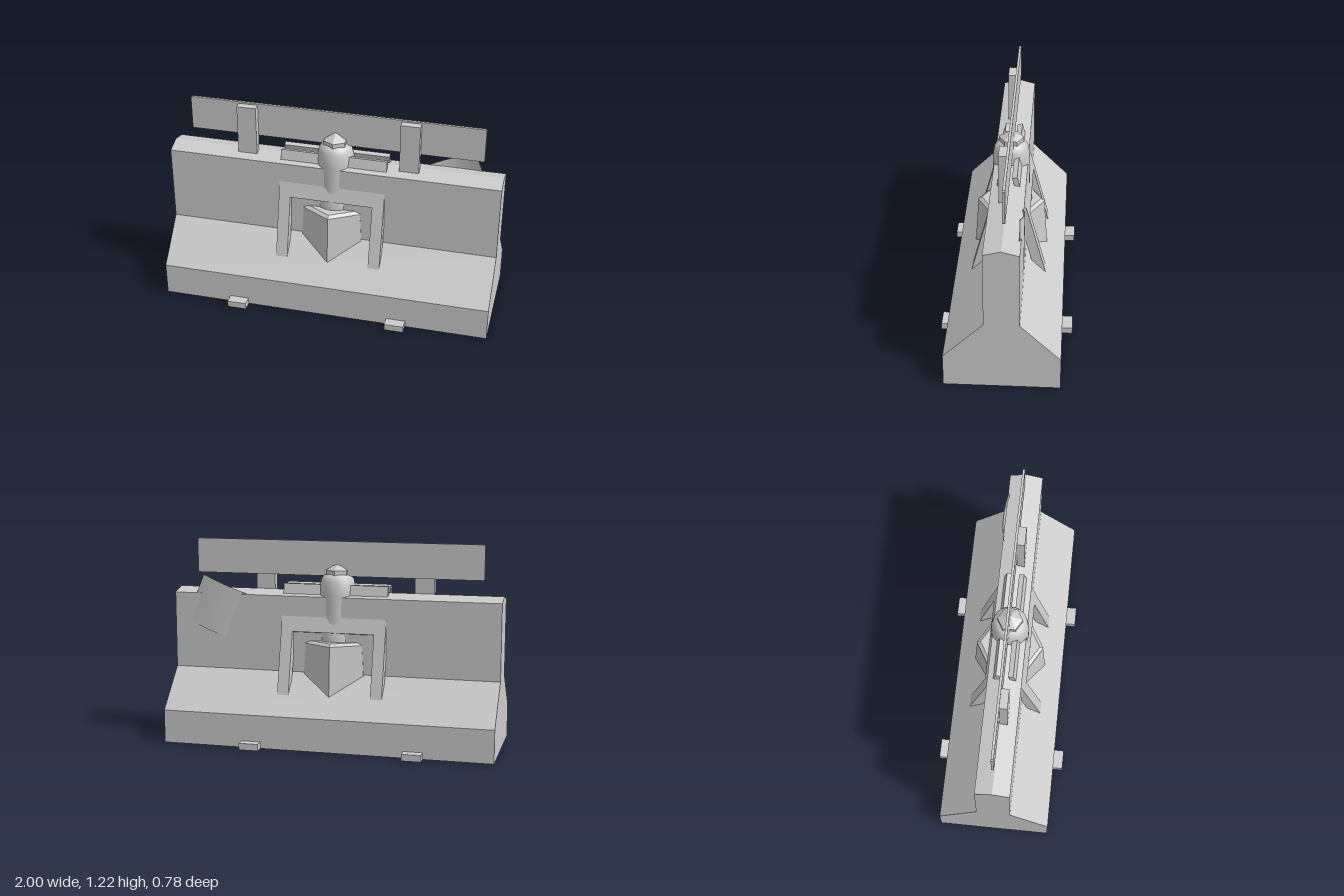
import * as THREE from 'three';
import { toCreasedNormals } from 'three/addons/utils/BufferGeometryUtils.js';

export function createModel() {
  const root = new THREE.Group();
  root.name = 'roadBarrier';
  const grey = new THREE.MeshStandardMaterial({ color: 0xcccccc });
  grey.name = 'concreteGrey';

  const add = (name, geometry, parent = root) => {
    const mesh = new THREE.Mesh(geometry, grey);
    mesh.name = name;
    parent.add(mesh);
    return mesh;
  };
  // Box given by its minimum and maximum corners
  const box = (name, [x0, y0, z0], [x1, y1, z1], parent) => {
    const g = new THREE.BoxGeometry(x1 - x0, y1 - y0, z1 - z0);
    g.translate((x0 + x1) / 2, (y0 + y1) / 2, (z0 + z1) / 2);
    return add(name, g, parent);
  };
  // Faceted six-sided prism or cone
  const hex = (name, rTop, rBottom, y0, y1) => {
    const g = new THREE.CylinderGeometry(rTop, rBottom, y1 - y0, 6);
    g.translate(0, (y0 + y1) / 2, 0);
    return add(name, toCreasedNormals(g, 0.4));
  };

  // Concrete barrier: symmetric cross-section pushed along x
  const half = [[0.33, 0], [0.33, 0.2], [0.1, 0.43], [0.1, 0.89]];
  const section = [...half, [0, 0.917], ...half.map(([z, y]) => [-z, y]).reverse()];
  const barrier = new THREE.ExtrudeGeometry(
    new THREE.Shape(section.map(([z, y]) => new THREE.Vector2(z, y))),
    { depth: 2, bevelEnabled: false });
  barrier.translate(0, 0, -1).rotateY(Math.PI / 2);
  add('barrier', barrier);

  // Ground bars and sign posts share their x positions
  for (const x of [-0.53, 0.45]) {
    box('groundBar', [x - 0.058, 0, -0.39], [x + 0.058, 0.04, 0.39]);
    box('signPost', [x - 0.058, 0.88, 0], [x + 0.058, 1.207, 0.045]);
  }

  // Long sign board with slightly clipped corners
  const c = 0.008, bx0 = -0.885, bx1 = 0.88, by0 = 1.008, by1 = 1.217;
  const boardShape = new THREE.Shape([
    [bx0 + c, by0], [bx1 - c, by0], [bx1, by0 + c], [bx1, by1 - c],
    [bx1 - c, by1], [bx0 + c, by1], [bx0, by1 - c], [bx0, by0 + c],
  ].map(([x, y]) => new THREE.Vector2(x, y)));
  const board = new THREE.ExtrudeGeometry(boardShape, { depth: 0.015, bevelEnabled: false });
  board.translate(0, 0, -0.015);
  add('signBoard', board);

  // Hydrant: six-sided base and rim, smooth round body, six-sided cap
  hex('hydrantBase', 0.2, 0.222, 0.28, 0.608);
  hex('hydrantRim', 0.18, 0.203, 0.608, 0.624);
  const profile = [
    [0.125, 0.6], [0.122, 0.66], [0.113, 0.69], [0.11, 0.75], [0.111, 0.9], [0.108, 0.94],
    [0.1, 0.985], [0.085, 1.01], [0.06, 1.024], [0, 1.03],
  ].map(([r, y]) => new THREE.Vector2(r, y));
  add('hydrantBody', new THREE.LatheGeometry(profile, 32));
  hex('hydrantCap', 0.074, 0.074, 1.003, 1.045);
  hex('hydrantCapPoint', 0, 0.074, 1.045, 1.087);

  // Leaning A-frame: one panel with thick legs on each side of the barrier
  for (const side of [0, 1]) {
    const pivot = new THREE.Group();
    pivot.name = side ? 'backFrame' : 'frontFrame';
    pivot.rotation.y = side * Math.PI;
    root.add(pivot);
    const panel = new THREE.Group();
    panel.name = 'leaningPanel';
    panel.position.set(0, 0.96, 0.05);
    panel.rotation.x = -0.256;
    pivot.add(panel);
    box('topPanel', [-0.32, -0.29, -0.03], [0.32, 0, 0], panel);
    for (const s of [-1, 1]) {
      const leg = box('frameLeg', [-0.035, -0.85, -0.06], [0.035, -0.29, 0], panel);
      leg.position.x = s * 0.285;
    }
  }

  // Curled sheet stuck on the back of the barrier
  const sheet = new THREE.BoxGeometry(0.3, 0.3, 0.004, 16, 1, 1);
  const p = sheet.attributes.position;
  for (let i = 0; i < p.count; i++) {
    const u = p.getX(i) / 0.15;
    p.setZ(i, p.getZ(i) - 0.11 + 0.02 * u * u);
  }
  sheet.computeVertexNormals();
  sheet.rotateZ(0.384).translate(0.735, 0.808, 0);
  add('curledSheet', sheet);

  return root;
}
